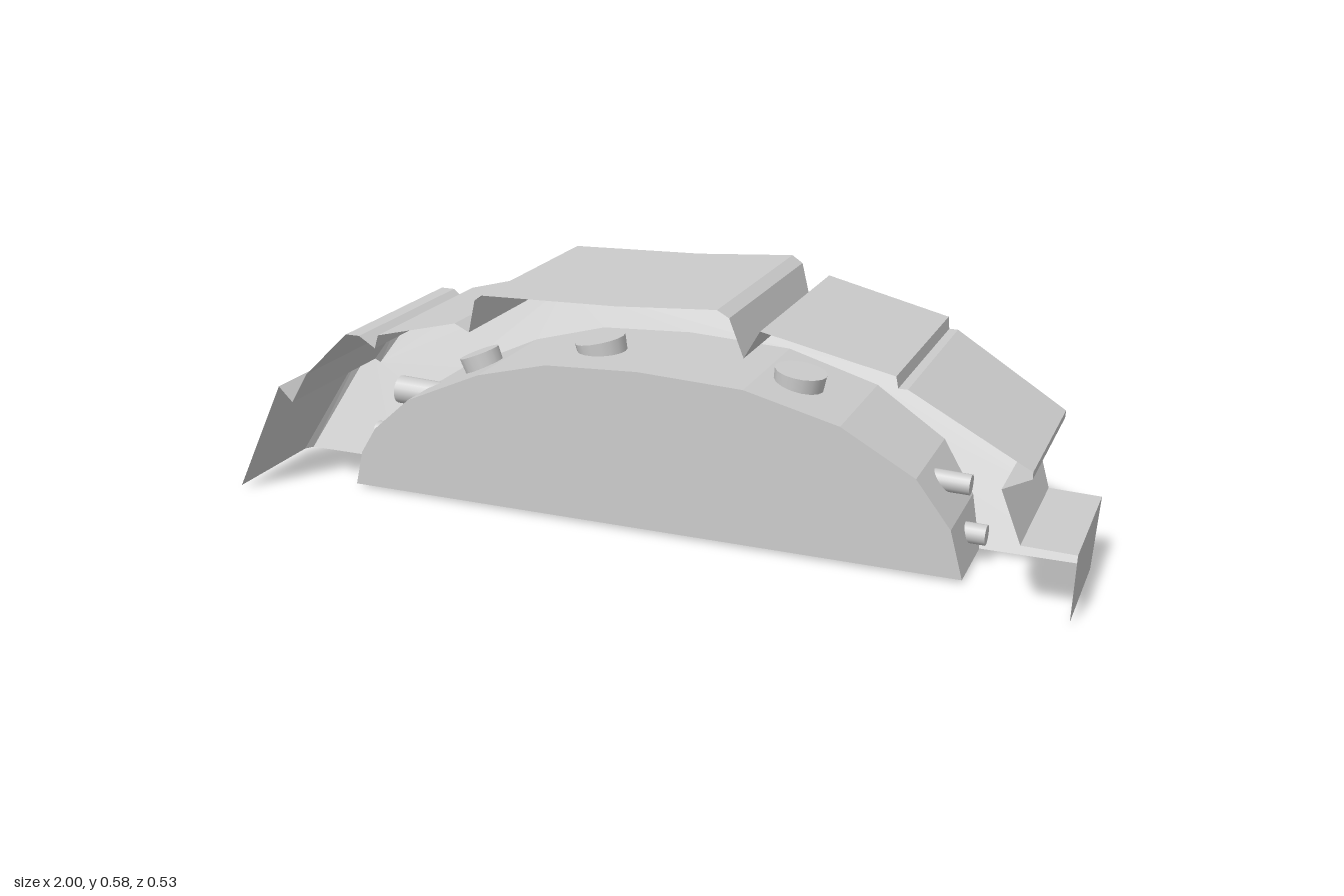
import * as THREE from 'three';

const FRONT = 0.265, PANEL = 0.15, BEVEL = 0.014;
const backZ = (y) => -0.03 - 0.415 * y; // sloping rear plane

// Stepped outline of the stone blocks, from -x to +x
const OUTER = [
  [-1, 0], [-0.87, 0.27], [-0.835, 0.235], [-0.79, 0.31], [-0.675, 0.42], [-0.64, 0.42],
  [-0.6, 0.395], [-0.59, 0.427], [-0.39, 0.477], [-0.355, 0.46], [-0.338, 0.535], [-0.32, 0.548],
  [0, 0.557], [0.23, 0.573], [0.257, 0.558], [0.29, 0.475], [0.325, 0.537], [0.615, 0.475],
  [0.62, 0.45], [0.64, 0.45], [0.9, 0.31], [0.9, 0.295], [0.84, 0.265], [0.885, 0.15], [1, 0.147], [0.995, 0],
];

// Arched opening, from -x to +x
const INNER = [
  [-0.745, 0], [-0.725, 0.085], [-0.685, 0.15], [-0.59, 0.235], [-0.4, 0.32], [-0.225, 0.365], [0, 0.376],
  [0.25, 0.365], [0.47, 0.31], [0.64, 0.215], [0.72, 0.11], [0.75, 0],
];

const stone = new THREE.MeshStandardMaterial({ color: 0xcccccc, flatShading: true, side: THREE.DoubleSide });
const metal = new THREE.MeshStandardMaterial({ color: 0xcccccc });

// Moves every point of an open outline inwards by its averaged normal
function inset(points, d) {
  return points.map(([x, y], i) => {
    const a = points[Math.max(i - 1, 0)], b = points[Math.min(i + 1, points.length - 1)];
    const dx = b[0] - a[0], dy = b[1] - a[1], l = Math.hypot(dx, dy);
    return [x + (dy / l) * d, y === 0 ? 0 : y - (dx / l) * d];
  });
}

// Surface between successive rows of points
function loft(rows) {
  const n = rows[0].length, index = [];
  for (let r = 0; r < rows.length - 1; r++) {
    for (let i = 0; i < n - 1; i++) {
      const a = r * n + i, b = a + n;
      index.push(a, a + 1, b, a + 1, b + 1, b);
    }
  }
  const geo = new THREE.BufferGeometry();
  geo.setAttribute('position', new THREE.Float32BufferAttribute(rows.flat(2), 3));
  geo.setIndex(index);
  geo.computeVertexNormals();
  return geo;
}

// Flat face of an outline, placed in depth by a function of height
function face(points, depth, flip) {
  const geo = new THREE.ShapeGeometry(new THREE.Shape(points.map((p) => new THREE.Vector2(...p))));
  const pos = geo.attributes.position;
  for (let i = 0; i < pos.count; i++) pos.setZ(i, depth(pos.getY(i)));
  if (flip) geo.index.array.reverse();
  geo.computeVertexNormals();
  return geo;
}

// Tapered round bar between two points
function bar(from, to, r0, r1) {
  const a = new THREE.Vector3(...from), b = new THREE.Vector3(...to);
  const dir = b.clone().sub(a);
  const geo = new THREE.CylinderGeometry(r1, r0, dir.length(), 16);
  const mesh = new THREE.Mesh(geo, metal);
  mesh.position.copy(a).add(b).multiplyScalar(0.5);
  mesh.quaternion.setFromUnitVectors(new THREE.Vector3(0, 1, 0), dir.normalize());
  return mesh;
}

export function createModel() {
  const model = new THREE.Group();
  const add = (name, mesh) => {
    mesh.name = name;
    model.add(mesh);
  };
  const row = (points, depth) => points.map(([x, y]) => [x, y, depth(y)]);
  const rim = inset(OUTER, BEVEL);

  // Outer skin of the blocks with a bevelled rear edge
  const skin = [
    row(OUTER, () => FRONT),
    row(OUTER, (y) => backZ(y) + 0.02),
    rim.map(([x, y]) => [x, y, backZ(y)]),
  ];
  add('archBlocks', new THREE.Mesh(loft(skin), stone));

  // Sloping rear face around the opening
  add('archFace', new THREE.Mesh(face([...rim, ...[...INNER].reverse()], backZ, true), stone));

  // Lining of the opening, closed by a panel
  add('openingLining', new THREE.Mesh(loft([row(INNER, backZ), row(INNER, () => PANEL)]), stone));
  add('panel', new THREE.Mesh(face(INNER, () => PANEL, false), stone));

  // Upright bars fan out towards the top: bottom x, top x, top y, top radius
  const uprights = [[0.28, 0.335, 0.375, 0.06], [-0.07, -0.155, 0.395, 0.06], [-0.35, -0.475, 0.325, 0.05]];
  for (const [x0, x1, y1, r] of uprights) {
    add('uprightBar', bar([x0, 0.005, 0], [x1, y1, 0], 0.034, r));
  }

  // Cross bars
  add('upperCrossBar', bar([-0.68, 0.215, 0.03], [0.735, 0.172, 0.03], 0.034, 0.023));
  add('lowerCrossBar', bar([-0.75, 0.095, 0.03], [0.775, 0.06, 0.03], 0.027, 0.023));

  return model;
}
